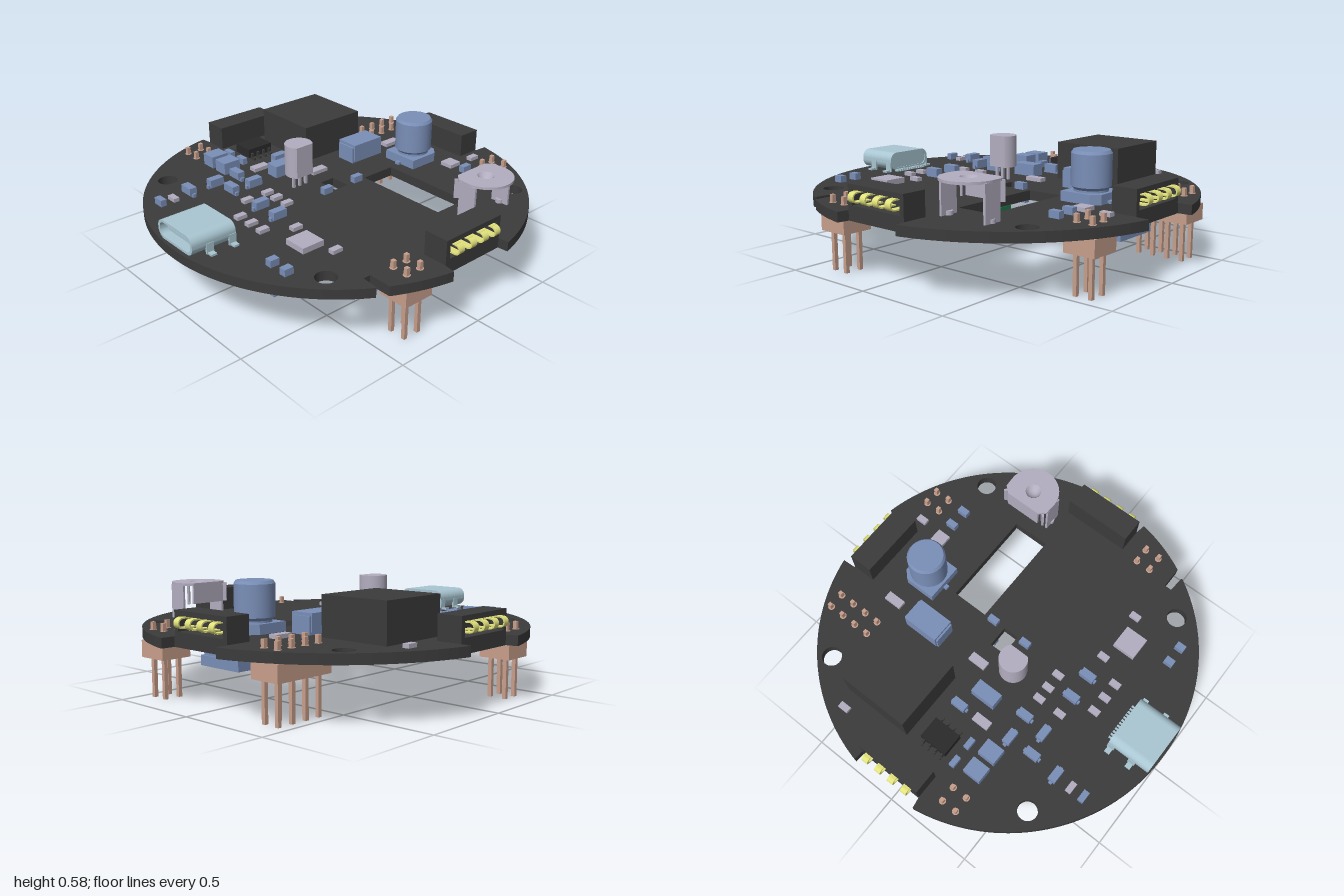
import * as THREE from 'three';

const mat = (color) => new THREE.MeshStandardMaterial({ color, side: THREE.DoubleSide });
const TOP = 0.335, BOTTOM = 0.285;

export function createModel() {
  const root = new THREE.Group();
  const black = mat(0x3b3b3b), dark = mat(0x2a2a2a), blue = mat(0x7a8fb8), lilac = mat(0xb3aec0);
  const copper = mat(0xc89f8c), yellow = mat(0xe2e27c), green = mat(0x1f7a4a), steel = mat(0xa9c6d2);

  const add = (parent, name, geo, m, x = 0, y = 0, z = 0) => {
    const mesh = new THREE.Mesh(geo, m);
    mesh.name = name;
    mesh.position.set(x, y, z);
    parent.add(mesh);
    return mesh;
  };
  const group = (name) => {
    const g = new THREE.Group();
    g.name = name;
    root.add(g);
    return g;
  };
  // box given by its centre in x and z and its bottom and top heights
  const box = (parent, name, m, x, z, w, d, y0, y1) =>
    add(parent, name, new THREE.BoxGeometry(w, y1 - y0, d), m, x, (y0 + y1) / 2, z);
  // flat plate from an outline in (x, z)
  const slab = (parent, name, m, shape, y0, y1) => {
    const geo = new THREE.ExtrudeGeometry(shape, { depth: y1 - y0, bevelEnabled: false, curveSegments: 32 });
    return add(parent, name, geo.rotateX(Math.PI / 2), m, 0, y1, 0);
  };
  const poly = (pts) => new THREE.Shape(pts.map(([x, z]) => new THREE.Vector2(x, z)));
  const rect = (x0, z0, x1, z1) => poly([[x0, z0], [x1, z0], [x1, z1], [x0, z1]]);
  const disc = (x, z, r) => new THREE.Path().absarc(x, z, r, 0, Math.PI * 2);

  // circuit board: notched disc with windows and screw holes
  const s = new THREE.Shape(), P = Math.PI;
  s.absarc(0, 0, 1, 0.181, 0.495);
  [[0.76, 0.475], [0.76, 0.515], [0.84, 0.52]].forEach(([x, z]) => s.lineTo(x, z));
  s.absarc(0, 0, 1, 0.553, P - 0.181);
  s.lineTo(-0.925, 0.17); s.lineTo(-0.925, -0.2);
  s.absarc(0, 0, 1, P + 0.206, 1.5 * P - 0.195);
  s.lineTo(-0.19, -0.91); s.lineTo(0.19, -0.91);
  s.absarc(0, 0, 1, 1.5 * P + 0.195, 2 * P - 0.206);
  s.lineTo(0.925, -0.2); s.lineTo(0.925, 0.17);
  s.closePath();
  for (const x of [-0.645, 0.645]) for (const z of [-0.66, 0.63]) s.holes.push(disc(x, z, 0.052));
  s.holes.push(rect(0.03, -0.38, 0.56, -0.18), rect(-0.08, -0.05, 0.035, 0.035));
  slab(root, 'circuitBoard', black, s, BOTTOM, TOP);

  // edge connectors with four sprung contacts, built facing +z
  const edgeConnector = (x, z, angle) => {
    const g = group('edgeConnector');
    const face = rect(-0.185, 0, 0.185, 0.125);
    face.holes.push(rect(-0.16, 0.025, 0.16, 0.1));
    add(g, 'connectorFrame', new THREE.ExtrudeGeometry(face, { depth: 0.07, bevelEnabled: false }), black, 0, 0, -0.07);
    box(g, 'connectorBack', black, 0, -0.1, 0.37, 0.06, 0, 0.125);
    for (let i = 0; i < 4; i++) {
      const cx = -0.124 + i * 0.0825;
      const path = new THREE.Shape();
      path.absarc(0, 0, 0.026, -P / 2, P / 2);
      path.absarc(0, 0, 0.019, P / 2, -P / 2, true);
      const geo = new THREE.ExtrudeGeometry(path, { depth: 0.036, bevelEnabled: false });
      add(g, 'springContact', geo.rotateY(-P / 2), yellow, cx + 0.018, 0.07, 0.013);
      box(g, 'contactArm', yellow, cx, -0.028, 0.036, 0.084, 0.09, 0.097);
      box(g, 'contactArm', yellow, cx, -0.028, 0.036, 0.084, 0.043, 0.05);
    }
    g.position.set(x, TOP, z);
    g.rotation.y = angle;
  };
  edgeConnector(0.925, -0.015, P / 2);
  edgeConnector(-0.925, -0.015, -P / 2);
  edgeConnector(0, -0.91, P);

  // pin headers under the board, pins showing through on top
  const pinHeader = (x, z, rows) => {
    const g = group('pinHeader'), p = 0.083;
    box(g, 'headerHousing', copper, x, z, 2 * p, rows * p, 0.2, BOTTOM);
    for (const i of [-0.5, 0.5]) for (let j = 0; j < rows; j++) {
      const px = x + i * p, pz = z + (j - (rows - 1) / 2) * p;
      box(g, 'pin', copper, px, pz, 0.02, 0.02, 0, 0.375);
      add(g, 'pinPad', new THREE.CylinderGeometry(0.018, 0.018, 0.004, 16), copper, px, TOP, pz);
    }
  };
  pinHeader(-0.825, 0.315, 2);
  pinHeader(0.825, 0.315, 2);
  pinHeader(-0.398, -0.725, 4);
  pinHeader(0.395, -0.808, 2);

  // tall module and legged chip
  box(root, 'powerModule', black, -0.53, -0.275, 0.385, 0.39, TOP, 0.535);
  box(root, 'leggedChip', dark, -0.63, 0.068, 0.12, 0.155, 0.345, 0.395);
  for (let i = 0; i < 4; i++) {
    box(root, 'chipLegs', black, -0.63, 0.01 + i * 0.039, 0.18, 0.014, TOP, 0.348);
    box(root, 'chipLegBends', black, -0.63, 0.01 + i * 0.039, 0.145, 0.014, 0.345, 0.37);
  }

  // capacitor can on a chamfered base
  const cap = group('capacitor');
  const c = 0.105, k = 0.065;
  slab(cap, 'capacitorBase', blue, poly([[-c, -k], [-k, -c], [k, -c], [c, -k], [c, c], [-c, c]]), TOP, 0.385);
  const canProfile = [[0, 0.37], [0.085, 0.37], [0.085, 0.395], [0.1, 0.41], [0.1, 0.57], [0.09, 0.585], [0, 0.585]];
  for (let i = 0; i + 1 < canProfile.length; i++)
    add(cap, 'capacitorCan', new THREE.LatheGeometry(canProfile.slice(i, i + 2).map(([x, y]) => new THREE.Vector2(x, y)), 40), blue);
  box(cap, 'capacitorTerminals', blue, 0, 0, 0.025, 0.25, TOP, 0.35);
  cap.position.set(0.025, 0, -0.555);

  // inductor block with end caps
  box(root, 'inductor', blue, -0.205, -0.365, 0.13, 0.2, 0.35, 0.44);
  box(root, 'inductorEnds', blue, -0.205, -0.365, 0.115, 0.22, TOP, 0.425);

  // flat-sided three-legged sensor
  const sensor = new THREE.Shape().absarc(-0.135, 0.14, 0.073, 0.8, 2 * P - 0.8);
  slab(root, 'sensorBody', lilac, sensor, 0.405, 0.575);
  for (const dz of [-0.04, 0, 0.04]) box(root, 'sensorLeg', lilac, -0.13, 0.14 + dz, 0.014, 0.014, 0.25, 0.41);

  // lilac cup bracket: top plate with dimple, curved skirt and feet
  const cup = group('cupBracket');
  const plate = new THREE.Shape().absarc(0.69, -0.37, 0.138, -P / 2, P / 2);
  [[0.63, -0.235], [0.597, -0.27], [0.597, -0.47], [0.63, -0.505]].forEach(([x, z]) => plate.lineTo(x, z));
  plate.holes.push(disc(0.69, -0.37, 0.042));
  slab(cup, 'bracketPlate', lilac, plate, 0.512, 0.525);
  const dimple = [[0.042, 0.525], [0.02, 0.495], [0, 0.495]].map(([x, y]) => new THREE.Vector2(x, y));
  add(cup, 'bracketDimple', new THREE.LatheGeometry(dimple, 24), lilac, 0.69, 0, -0.37);
  box(cup, 'bracketBackWall', lilac, 0.603, -0.37, 0.012, 0.2, 0.415, 0.52);
  for (const side of [-1, 1]) {
    const z = -0.37 + side * 0.131;
    box(cup, 'bracketSideWall', lilac, 0.69, z, 0.1, 0.012, TOP, 0.515);
    box(cup, 'bracketCorner', lilac, 0.62, z - side * 0.015, 0.045, 0.012, 0.415, 0.515).rotation.y = side * 0.75;
    add(cup, 'bracketPeg', new THREE.CylinderGeometry(0.02, 0.02, 0.1, 16), lilac, 0.69, 0.305, z - side * 0.005);
  }

  // charging socket: hollow rounded shell, tongue and solder tabs
  const socket = group('chargingSocket');
  const pill = (hw, hh, r, S) => {
    const q = new S();
    q.absarc(hw - r, hh - r, r, 0, P / 2); q.absarc(r - hw, hh - r, r, P / 2, P);
    q.absarc(r - hw, r - hh, r, P, 1.5 * P); q.absarc(hw - r, r - hh, r, 1.5 * P, 2 * P);
    q.closePath();
    return q;
  };
  const shell = pill(0.142, 0.05, 0.045, THREE.Shape);
  shell.holes.push(pill(0.128, 0.037, 0.034, THREE.Path));
  add(socket, 'socketShell', new THREE.ExtrudeGeometry(shell, { depth: 0.24, bevelEnabled: false }), steel, 0, 0.393, 0.745);
  add(socket, 'socketBack', new THREE.ExtrudeGeometry(pill(0.13, 0.04, 0.035, THREE.Shape), { depth: 0.06, bevelEnabled: false }), steel, 0, 0.393, 0.75);
  box(socket, 'socketTongue', steel, 0, 0.88, 0.19, 0.16, 0.385, 0.401);
  for (const x of [-1, 1]) for (const z of [0.765, 0.89]) {
    box(socket, 'socketTab', steel, x * 0.155, z, 0.04, 0.03, TOP, 0.345);
    box(socket, 'socketTabSide', steel, x * 0.14, z, 0.01, 0.04, 0.28, 0.39);
  }
  for (let i = 0; i < 12; i++) box(socket, 'socketPin', steel, -0.1 + i * 0.0182, 0.74, 0.009, 0.03, TOP, 0.348);

  // small surface parts on top: x, z, width, depth
  const smalls = group('surfaceParts');
  const chips = (name, m, h, list, dir = 1) => list.forEach(([x, z, w = 0.034, d = 0.058]) => {
    const base = dir > 0 ? TOP : BOTTOM;
    const span = (a, b) => (dir > 0 ? [base + a, base + b] : [base - b, base - a]);
    box(smalls, name, m, x, z, w, d, ...span(0, h));
  });
  chips('smallBlock', blue, 0.035, [
    [-0.68, 0.2, 0.06, 0.03], [-0.565, 0.2, 0.06, 0.03], [-0.425, 0.805, 0.06, 0.032], [0.03, -0.12], [0.03, 0.09],
    [0.41, 0.74, 0.037, 0.05], [0.51, 0.74, 0.037, 0.05], [0.33, -0.65], [0.43, -0.65]]);
  chips('largeBlock', blue, 0.065, [[-0.315, 0.11, 0.075, 0.14], [-0.65, 0.315, 0.085, 0.1], [-0.535, 0.315, 0.085, 0.1]]);
  const diodes = [[-0.44, 0.035, 1], [-0.28, 0.33, 1], [-0.415, 0.48, 1], [-0.055, 0.455, 1], [0.085, 0.455, 1],
    [-0.415, 0.34, 0], [-0.295, 0.46, 0], [-0.425, 0.635, 0]];
  diodes.forEach(([x, z, along]) => {
    const size = (l, w) => (along ? [w, l] : [l, w]);
    box(smalls, 'diodeBody', blue, x, z, ...size(0.08, 0.042), 0.345, 0.385);
    box(smalls, 'diodeLeads', blue, x, z, ...size(0.1, 0.018), TOP, 0.355);
  });
  chips('resistor', lilac, 0.02, [
    [-0.205, -0.605, 0.047, 0.1], [0.225, -0.65, 0.075, 0.075], [0.255, -0.8], [-0.81, -0.42], [-0.195, -0.04, 0.047, 0.1],
    [-0.435, 0.175, 0.047, 0.095], [-0.16, 0.33], [-0.085, 0.33], [0, 0.33], [-0.16, 0.46], [0.225, 0.455], [0.51, 0.455],
    [-0.04, 0.59], [0.05, 0.59], [0.14, 0.59], [-0.425, 0.73, 0.06, 0.032]]);
  chips('squareChip', lilac, 0.03, [[0.37, 0.52, 0.125, 0.125]]);

  // small parts under the board
  chips('undersideBlock', blue, 0.035, [[0.5, 0.47], [0.5, 0.79], [0.34, 0.745], [0.22, 0.57], [-0.3, 0.72, 0.06, 0.034],
    [-0.43, 0.57, 0.085, 0.045], [-0.06, -0.24, 0.045, 0.09], [-0.035, -0.08], [-0.065, 0.065]], -1);
  chips('undersideResistor', lilac, 0.02, [[0.54, 0.645], [0.28, 0.61], [-0.29, 0.59], [-0.36, 0.57], [-0.49, 0.39],
    [-0.575, 0.41], [0.02, 0.205]], -1);

  // blue terminal block under the board with a recessed face
  const ring = rect(-0.13, -0.8, 0.135, -0.58);
  ring.holes.push(rect(-0.09, -0.765, 0.095, -0.615));
  slab(root, 'underBlockRim', blue, ring, 0.19, 0.24);
  box(root, 'underBlockBody', blue, 0.0025, -0.69, 0.24, 0.2, 0.225, BOTTOM);
  box(root, 'underBlockCore', blue, 0.0025, -0.69, 0.09, 0.075, 0.2, 0.23);

  // green radio module under the board, with edge pads and shield can
  const radio = group('radioModule');
  box(radio, 'modulePlate', green, 0.42, 0.105, 0.5, 0.55, 0.25, 0.28);
  for (let i = 0; i < 11; i++) for (const x of [0.18, 0.66])
    box(radio, 'modulePad', green, x, -0.14 + i * 0.049, 0.045, 0.028, 0.24, BOTTOM);
  box(radio, 'shieldCan', lilac, 0.31, 0.22, 0.2, 0.2, 0.232, 0.25);
  box(radio, 'shieldCap', dark, 0.31, 0.22, 0.17, 0.17, 0.229, 0.234);
  box(radio, 'moduleChip', dark, 0.54, -0.04, 0.08, 0.08, 0.222, 0.25);
  box(radio, 'moduleChip', dark, 0.35, -0.06, 0.07, 0.07, 0.23, 0.25);
  for (let i = 0; i < 5; i++) {
    box(radio, 'modulePart', lilac, 0.48, 0.06 + i * 0.06, 0.045, 0.025, 0.235, 0.25);
    box(radio, 'modulePart', lilac, 0.57, 0.06 + i * 0.06, 0.025, 0.04, 0.235, 0.25);
    box(radio, 'modulePart', lilac, 0.25 + i * 0.05, 0.05, 0.025, 0.035, 0.235, 0.25);
  }
  return root;
}
